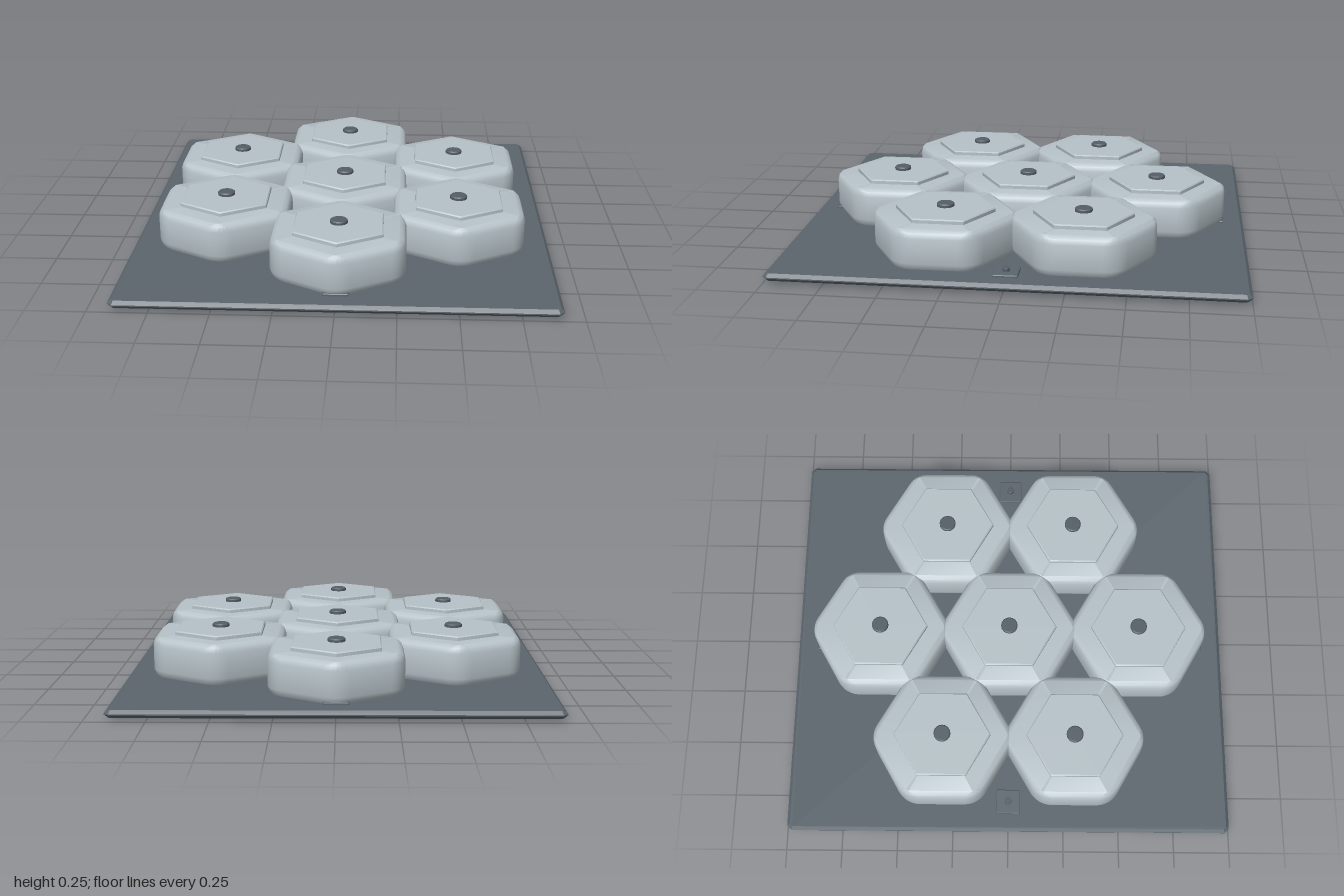
import * as THREE from 'three';
import { toCreasedNormals } from 'three/addons/utils/BufferGeometryUtils.js';

const shell = new THREE.MeshStandardMaterial({ name: 'paleGrey', color: 0xb6c2c8 });
const slate = new THREE.MeshStandardMaterial({ name: 'slateGrey', color: 0x5b656d });
const fastener = new THREE.MeshStandardMaterial({ name: 'darkGrey', color: 0x555e66 });

const ARC = 6; // segments round each hexagon corner

// Hexagon outline with points on +-z: a = half width across flats, r = corner radius
function hexRing(a, r, y) {
  const pts = [];
  const d = (a - r) / Math.cos(Math.PI / 6);
  for (let c = 0; c < 6; c++) {
    const mid = Math.PI / 6 + (c * Math.PI) / 3;
    for (let i = 0; i <= ARC; i++) {
      const t = mid + (i / ARC - 0.5) * (Math.PI / 3);
      pts.push([d * Math.cos(mid) + r * Math.cos(t), y, d * Math.sin(mid) + r * Math.sin(t)]);
    }
  }
  return pts;
}

// Skins a stack of hexagon rings, lowest first, and closes both ends
function hexSolid(levels, crease) {
  const rings = levels.map(([a, r, y]) => hexRing(a, r, y));
  const n = rings[0].length;
  const pos = rings.flat(2);
  const index = [];
  for (let k = 0; k < rings.length - 1; k++) {
    for (let i = 0; i < n; i++) {
      const a = k * n + i, b = k * n + (i + 1) % n;
      index.push(a, a + n, b, b, a + n, b + n);
    }
  }
  const last = rings.length - 1;
  const bottom = pos.length / 3, top = bottom + 1;
  pos.push(0, levels[0][2], 0, 0, levels[last][2], 0);
  for (let i = 0; i < n; i++) {
    const j = (i + 1) % n;
    index.push(bottom, i, j, top, last * n + j, last * n + i);
  }
  const g = new THREE.BufferGeometry();
  g.setAttribute('position', new THREE.Float32BufferAttribute(pos, 3));
  g.setIndex(index);
  return toCreasedNormals(g, crease);
}

// Flat slab with chamfered edges, from y0 to y1
function slab(hx, hz, y0, y1, bevel, cut) {
  const x = hx - bevel, z = hz - bevel;
  const s = new THREE.Shape([
    [-x + cut, -z], [x - cut, -z], [x, -z + cut], [x, z - cut],
    [x - cut, z], [-x + cut, z], [-x, z - cut], [-x, -z + cut],
  ].map(([u, v]) => new THREE.Vector2(u, v)));
  const g = new THREE.ExtrudeGeometry(s, {
    depth: y1 - y0 - 2 * bevel, bevelEnabled: true, bevelSegments: 1,
    bevelSize: bevel, bevelThickness: bevel,
  });
  g.rotateX(-Math.PI / 2);
  g.translate(0, y0 + bevel, 0);
  return g;
}

// Round fastener head with a small chamfer
function stud(radius, y0, y1) {
  const c = radius * 0.12;
  const profile = [[0, y0], [radius, y0], [radius, y1 - c], [radius - c, y1], [0, y1]];
  const g = new THREE.LatheGeometry(profile.map(([x, y]) => new THREE.Vector2(x, y)), 16);
  return toCreasedNormals(g, 0.5);
}

function add(parent, name, geometry, material) {
  const m = new THREE.Mesh(geometry, material);
  m.name = name;
  parent.add(m);
  return m;
}

export function createModel() {
  const model = new THREE.Group();
  model.name = 'hexCellPanel';

  // Base plate
  add(model, 'basePlate', slab(0.915, 1, 0.013, 0.046, 0.014, 0.012), slate);

  // Seven hexagonal cells: one in the middle and a ring of six
  const bodyGeo = hexSolid([
    [0.268, 0.1, 0.04], [0.28, 0.11, 0.056], [0.286, 0.115, 0.075],
    [0.286, 0.115, 0.185], [0.277, 0.08, 0.207], [0.257, 0.015, 0.22],
  ], 0.62);
  const capGeo = hexSolid([[0.189, 0.004, 0.215], [0.189, 0.004, 0.234], [0.184, 0.004, 0.239]], 0.5);
  const studGeo = stud(0.038, 0.235, 0.254);
  const centres = [[0, 0], [0, -0.597], [0, 0.597]];
  for (const sx of [-1, 1]) for (const sz of [-1, 1]) centres.push([sx * 0.516, sz * 0.298]);
  for (const [x, z] of centres) {
    const cell = new THREE.Group();
    cell.name = 'hexCell';
    cell.position.set(x, 0, z);
    add(cell, 'cellBody', bodyGeo, shell);
    add(cell, 'cellCap', capGeo, shell);
    add(cell, 'cellStud', studGeo, fastener);
    model.add(cell);
  }

  // Mounting pads at the middle of each edge, each with a small bolt
  const padGeo = slab(0.054, 0.054, 0, 0.056, 0.003, 0.002);
  const boltGeo = stud(0.015, 0.05, 0.073);
  for (const [x, z] of [[0.782, 0], [-0.782, 0], [0, 0.855], [0, -0.855]]) {
    const mount = new THREE.Group();
    mount.name = 'mount';
    mount.position.set(x, 0, z);
    add(mount, 'mountPad', padGeo, slate);
    add(mount, 'mountBolt', boltGeo, fastener);
    model.add(mount);
  }
  return model;
}
